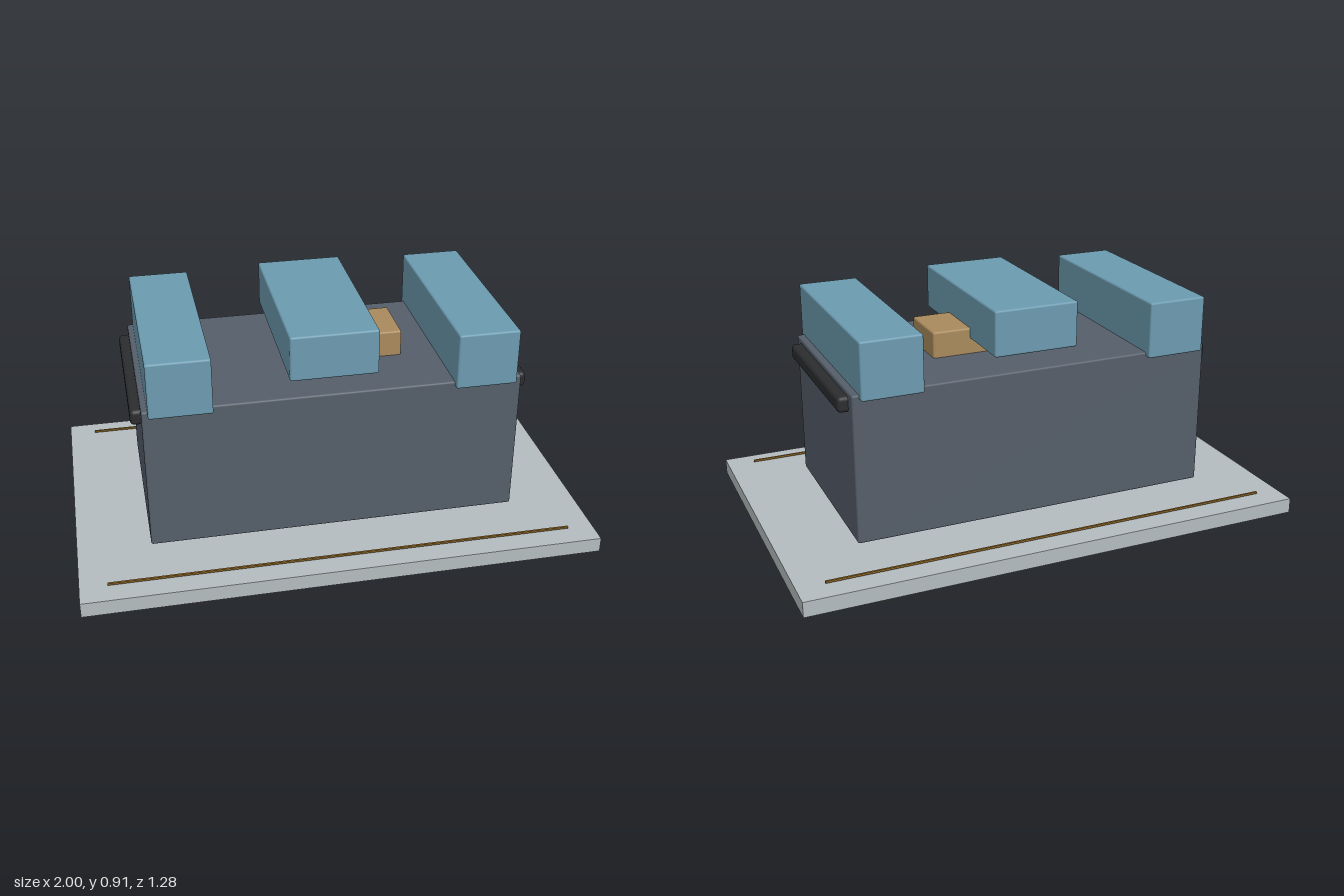
import * as THREE from 'three';
import { RoundedBoxGeometry } from 'three/addons/geometries/RoundedBoxGeometry.js';

const mat = (color) => new THREE.MeshStandardMaterial({ color });

export function createModel() {
  const model = new THREE.Group();
  model.name = 'machineOnPlinth';
  const stone = mat(0xb4bcbf), slate = mat(0x555e6a), blue = mat(0x6c9bb0);
  const tan = mat(0xa98a5c), black = mat(0x2c2d2f), brass = mat(0x8a6424);

  // Box given by its extents [min, max]; radius > 0 softens the edges
  const box = (name, material, [x0, x1], [y0, y1], [z0, z1], radius = 0) => {
    const size = [x1 - x0, y1 - y0, z1 - z0];
    const geometry = radius
      ? new RoundedBoxGeometry(...size, 3, radius)
      : new THREE.BoxGeometry(...size);
    const mesh = new THREE.Mesh(geometry, material);
    mesh.name = name;
    mesh.position.set((x0 + x1) / 2, (y0 + y1) / 2, (z0 + z1) / 2);
    model.add(mesh);
  };

  // Plinth and the main body hovering just above it
  box('plinth', stone, [-1, 1], [0, 0.06], [-0.64, 0.64]);
  box('body', slate, [-0.718, 0.718], [0.09, 0.67], [-0.373, 0.373], 0.008);

  // Raised blocks across the top
  box('rightBlock', blue, [-0.695, -0.459], [0.652, 0.873], [-0.399, 0.399], 0.008);
  box('leftBlock', blue, [0.455, 0.691], [0.652, 0.873], [-0.399, 0.399], 0.008);
  box('middleBlock', blue, [-0.17, 0.165], [0.728, 0.906], [-0.356, 0.356], 0.008);
  box('smallBlock', tan, [0.063, 0.315], [0.65, 0.772], [-0.113, 0.113], 0.008);

  // Side grips and thin guide rods, mirrored
  for (const s of [-1, 1]) {
    const side = s < 0 ? 'right' : 'left';
    box(side + 'Grip', black, s < 0 ? [-0.757, -0.68] : [0.68, 0.757], [0.591, 0.652], [-0.325, 0.325], 0.016);
    const z = s * 0.556;
    box(s < 0 ? 'backRod' : 'frontRod', brass, [-0.895, 0.895], [0.067, 0.075], [z - 0.004, z + 0.004]);
  }
  return model;
}
